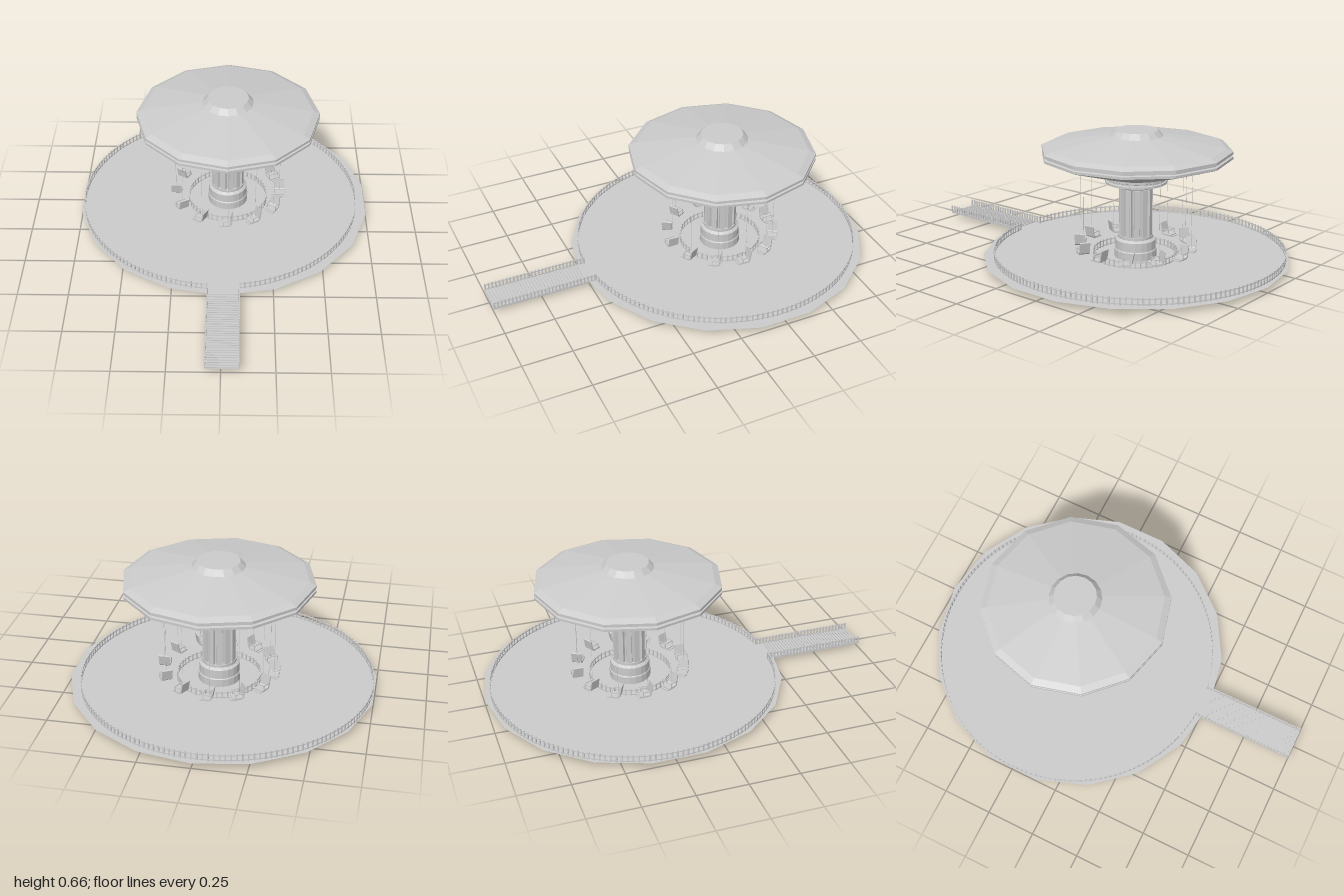
import * as THREE from 'three';
import { mergeGeometries } from 'three/addons/utils/BufferGeometryUtils.js';

const flat = new THREE.MeshStandardMaterial({ color: 0xcccccc, flatShading: true });
const thin = new THREE.MeshStandardMaterial({ color: 0xcccccc, flatShading: true, side: THREE.DoubleSide });

function part(parent, name, geometry, material = flat) {
  const mesh = new THREE.Mesh(geometry, material);
  mesh.name = name;
  parent.add(mesh);
  return mesh;
}

function lathe(points, sides) {
  return new THREE.LatheGeometry(points.map(([r, y]) => new THREE.Vector2(r, y)), sides);
}

function box(w, h, d, x, y, z) {
  return new THREE.BoxGeometry(w, h, d).translate(x, y, z);
}

// Railing along a ground path: rails between the points, a picket at each point
function fence(path) {
  const pieces = [];
  path.forEach(([x, z], i) => {
    const next = path[i + 1];
    const [px, pz] = next || path[i - 1];
    const yaw = Math.atan2(px - x, pz - z);
    pieces.push(new THREE.BoxGeometry(0.005, 0.042, 0.007).rotateY(yaw).translate(x, 0.043, z));
    if (!next) return;
    const length = Math.hypot(px - x, pz - z);
    for (const y of [0.032, 0.057]) {
      pieces.push(new THREE.BoxGeometry(0.005, 0.005, length)
        .rotateY(yaw).translate((x + px) / 2, y, (z + pz) / 2));
    }
  });
  return mergeGeometries(pieces);
}

function arc(radius, start, end, count, cx = 0, cz = 0) {
  return Array.from({ length: count + 1 }, (_, i) => {
    const a = start + (end - start) * i / count;
    return [cx + radius * Math.sin(a), cz + radius * Math.cos(a)];
  });
}

// Fluted column: a toothed outline extruded upward
function flutedColumn(outer, inner, teeth, height) {
  const shape = new THREE.Shape();
  for (let i = 0; i < teeth; i++) {
    [[0, inner], [0.1, outer], [0.72, outer], [0.82, inner]].forEach(([t, r], k) => {
      const a = (i + t) / teeth * Math.PI * 2;
      const x = r * Math.cos(a), y = r * Math.sin(a);
      if (i + k === 0) shape.moveTo(x, y);
      else shape.lineTo(x, y);
    });
  }
  shape.closePath();
  return new THREE.ExtrudeGeometry(shape, { depth: height, bevelEnabled: false }).rotateX(-Math.PI / 2);
}

// Seat and backrest as one bent shell, with two arms and a foot bar; faces +z
function makeChair() {
  const chair = new THREE.Group();
  const outline = new THREE.Shape();
  [[0.032, 0.066], [-0.012, 0.066], [-0.022, 0.074], [-0.032, 0.127], [-0.026, 0.13],
    [-0.015, 0.08], [-0.008, 0.075], [0.032, 0.074]]
    .forEach(([z, y], i) => (i ? outline.lineTo(z, y) : outline.moveTo(z, y)));
  outline.closePath();
  const shell = new THREE.ExtrudeGeometry(outline, { depth: 0.052, bevelEnabled: false });
  part(chair, 'seatShell', shell.rotateY(-Math.PI / 2).translate(0.026, 0, 0));
  for (const side of [-1, 1]) {
    part(chair, 'armrest', box(0.004, 0.004, 0.042, side * 0.026, 0.097, 0));
    part(chair, 'armPost', box(0.004, 0.026, 0.004, side * 0.026, 0.084, 0.019));
  }
  part(chair, 'lapBar', box(0.052, 0.004, 0.004, 0, 0.097, 0.021));
  part(chair, 'footrest', box(0.044, 0.004, 0.012, 0, 0.067, 0.037));
  part(chair, 'suspensionWire', new THREE.CylinderGeometry(0.001, 0.001, 0.4, 4).translate(0, 0.275, -0.008));
  return chair;
}

export function createModel() {
  const model = new THREE.Group();
  model.name = 'swingCarousel';

  // Thin round platform and its outer railing, open at the walkway
  const platform = part(model, 'platform', new THREE.CircleGeometry(0.76, 18, Math.PI / 2).rotateX(-Math.PI / 2), thin);
  platform.position.set(0, 0.026, -0.24);
  part(model, 'outerRailing', fence(arc(0.722, 0.146, Math.PI * 2 - 0.077, 170, -0.02, -0.245)));

  // Walkway with slats and side railings
  const walkway = new THREE.Group();
  walkway.name = 'walkway';
  model.add(walkway);
  part(walkway, 'deck', box(0.16, 0.004, 0.52, 0.005, 0.024, 0.74));
  const slats = [];
  for (let i = 0; i < 32; i++) slats.push(box(0.16, 0.006, 0.009, 0.005, 0.027, 0.515 + i * 0.0154));
  part(walkway, 'slats', mergeGeometries(slats));
  for (const x of [-0.072, 0.083]) {
    part(walkway, 'sideRailing', fence(Array.from({ length: 29 }, (_, i) => [x, 0.475 + i * 0.0186])));
  }

  // Central tower
  const tower = new THREE.Group();
  tower.name = 'tower';
  tower.position.set(0.02, 0, -0.25);
  model.add(tower);
  part(tower, 'pedestal', lathe([
    [0, 0], [0.122, 0], [0.122, 0.016], [0.104, 0.022], [0.104, 0.065], [0.1, 0.07],
    [0.1, 0.115], [0.086, 0.125], [0.086, 0.138], [0, 0.138]], 20));
  part(tower, 'flutedColumn', flutedColumn(0.083, 0.07, 12, 0.24)).position.y = 0.137;
  part(tower, 'collar', lathe([
    [0, 0.37], [0.072, 0.37], [0.072, 0.383], [0.1, 0.385], [0.135, 0.4], [0.152, 0.403], [0.152, 0.414],
    [0.145, 0.417], [0.145, 0.424], [0.152, 0.427], [0.152, 0.438], [0, 0.438]], 20));

  // Twelve-sided canopy with a grooved rim, and its cap
  part(tower, 'canopy', lathe([
    [0, 0.436], [0.15, 0.436], [0.455, 0.53], [0.468, 0.535], [0.468, 0.547], [0.455, 0.55],
    [0.455, 0.556], [0.468, 0.559], [0.468, 0.572], [0.435, 0.587], [0.13, 0.637], [0, 0.637]], 12));
  part(tower, 'canopyCap', lathe([[0, 0.63], [0.132, 0.635], [0.105, 0.664], [0, 0.664]], 16));

  // Inner railing
  part(tower, 'innerRailing', fence(arc(0.207, 0, Math.PI * 2, 48)));

  // Ring of hanging chairs, each facing along the ring
  for (let i = 0; i < 12; i++) {
    const angle = i / 12 * Math.PI * 2;
    const chair = makeChair();
    chair.name = 'chair';
    chair.position.set(0.275 * Math.cos(angle), 0, 0.275 * Math.sin(angle));
    chair.rotation.y = -angle;
    tower.add(chair);
  }
  return model;
}
